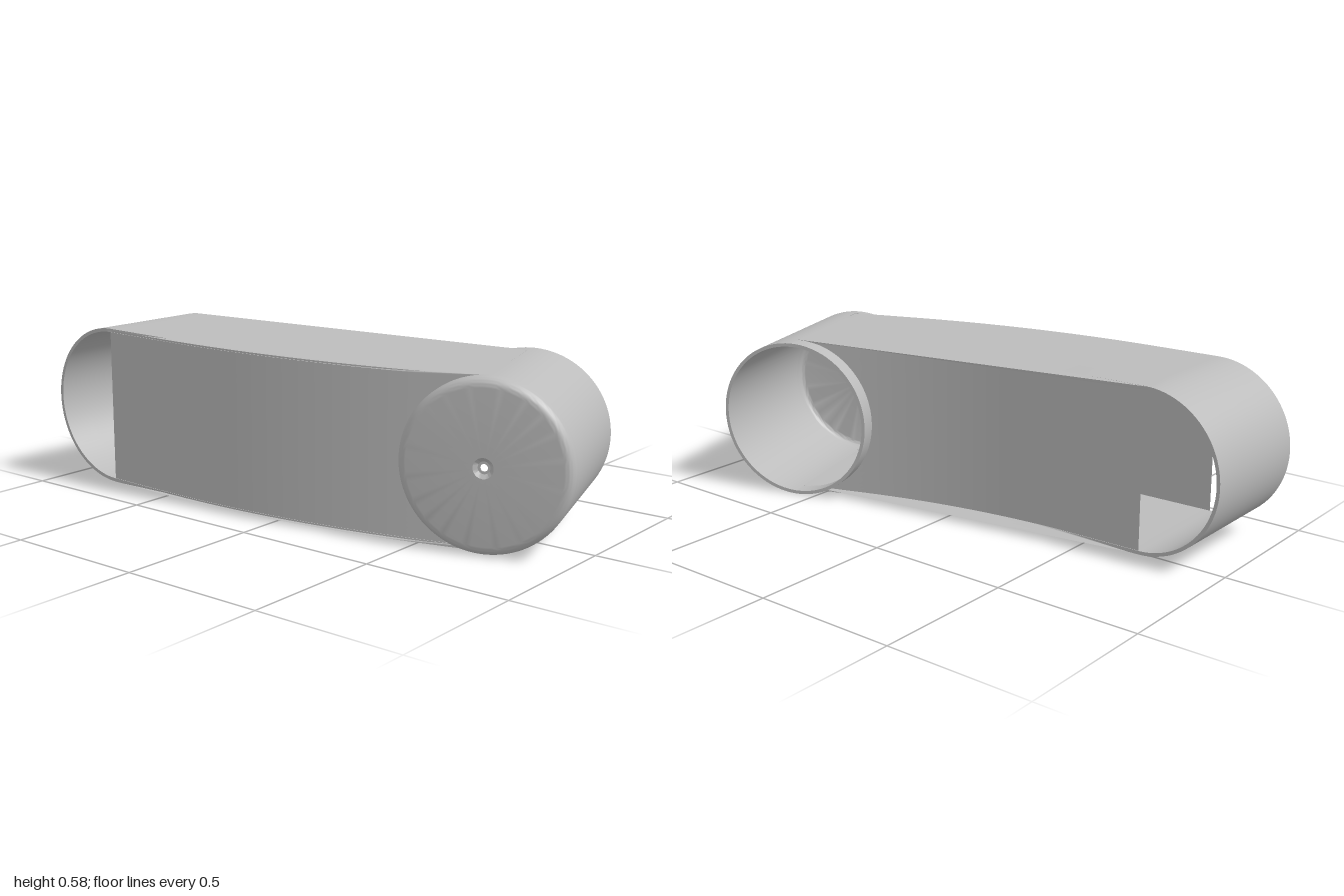
import * as THREE from 'three';
import { toCreasedNormals } from 'three/addons/utils/BufferGeometryUtils.js';
import { ParametricGeometry } from 'three/addons/geometries/ParametricGeometry.js';

const R = 0.278, T = 0.012, HALF = 0.228;      // outer radius, wall, half width of the arm
const BEND = 0.3, LENGTH = 1.675, REAR = 0.28; // bend angle, arm length, start of the side walls

// Bent arm space: s runs forward from the rear, off goes to +x, y is measured from the mid-line
function bend(s, y, off, target) {
  const a = THREE.MathUtils.clamp((s - 0.53) / 3, 0, BEND);
  const t = Math.max(0, s - 1.43);
  const x = -0.167 + 3 * (1 - Math.cos(a)) + t * Math.sin(a) + off * Math.cos(a);
  const z = (s < 0.53 ? s - 1 : -0.47 + 3 * Math.sin(a) + t * Math.cos(a)) - off * Math.sin(a);
  return target.set(x, 0.283 + y - 0.0163 * (z - 0.65), z);
}

// U-shaped strip: top sheet, round rear end and bottom sheet
function armShell() {
  const outline = (r) => {
    const pts = [];
    for (let i = 0; i <= 40; i++) pts.push(new THREE.Vector2(LENGTH + (REAR - LENGTH) * i / 40, r));
    for (let i = 1; i < 48; i++) {
      const a = Math.PI / 2 + Math.PI * i / 48;
      pts.push(new THREE.Vector2(REAR + r * Math.cos(a), r * Math.sin(a)));
    }
    for (let i = 0; i <= 40; i++) pts.push(new THREE.Vector2(REAR + (LENGTH - REAR) * i / 40, -r));
    return pts;
  };
  const shape = new THREE.Shape([...outline(R), ...outline(R - T).reverse()]);
  const g = new THREE.ExtrudeGeometry(shape, { depth: 2 * HALF, bevelEnabled: false, steps: 4 });
  const p = g.attributes.position, v = new THREE.Vector3();
  for (let i = 0; i < p.count; i++) {
    bend(p.getX(i), p.getY(i), HALF - p.getZ(i), v);
    p.setXYZ(i, v.x, v.y, v.z);
  }
  return toCreasedNormals(g, 0.6);
}

// Side wall that stops where it meets the round barrel
function sideWall(side) {
  const h = R - T / 2;
  return new ParametricGeometry((u, v, target) => {
    const y = h * Math.sin((v - 0.5) * Math.PI);
    const end = LENGTH - Math.sqrt(Math.max(0, h * h - y * y));
    bend(REAR + (end - REAR) * u, y, side * (HALF - 0.002), target);
  }, 48, 32);
}

// Closed profile of [radius, height] turned about the barrel axis (local x)
function turned(points, start = 0, sweep = Math.PI * 2) {
  const pts = [...points, points[0]].map(([r, h]) => new THREE.Vector2(r, h));
  const g = new THREE.LatheGeometry(pts, sweep > 4 ? 96 : 48, start, sweep);
  return toCreasedNormals(g.rotateZ(-Math.PI / 2), 0.6);
}
const band = (h0, h1) => [[R - T, h0], [R, h0], [R, h1], [R - T, h1]];
const fillet = (r, h, radius) => Array.from({ length: 9 }, (_, i) => {
  const a = Math.PI / 2 * i / 8;
  return [r + radius * Math.sin(a), h - radius * Math.cos(a)];
});

// Rounded access plate with four screw holes
function plateGeometry(w, d, r, sx, sz) {
  const s = new THREE.Shape();
  [[1, 1, 0], [-1, 1, 1], [-1, -1, 2], [1, -1, 3]].forEach(([x, y, q]) => {
    s.absarc(x * (w / 2 - r), y * (d / 2 - r), r, q * Math.PI / 2, (q + 1) * Math.PI / 2, false);
    s.holes.push(new THREE.Path().absarc(x * sx, y * sz, 0.02, 0, Math.PI * 2, true));
  });
  s.closePath();
  const g = new THREE.ExtrudeGeometry(s, { depth: 0.02, bevelEnabled: false, curveSegments: 12 });
  return toCreasedNormals(g.translate(0, 0, -0.01).rotateX(Math.PI / 2), 0.6);
}

export function createModel() {
  const model = new THREE.Group();
  model.name = 'hollowArmLink';
  const grey = new THREE.MeshStandardMaterial({ color: 0xbcbcbc, side: THREE.DoubleSide });
  grey.name = 'plainGrey';
  const add = (parent, name, geometry) => {
    const m = new THREE.Mesh(geometry, grey);
    m.name = name;
    parent.add(m);
    return m;
  };

  // Arm
  add(model, 'armShell', armShell());
  add(model, 'leftSideWall', sideWall(1));
  add(model, 'rightSideWall', sideWall(-1));

  // Front barrel: closed at the right end, open at the left, and open towards the arm
  const barrel = new THREE.Group();
  barrel.name = 'barrel';
  barrel.position.set(0.04, 0.283, 0.65);
  barrel.rotation.y = BEND;
  model.add(barrel);
  add(barrel, 'endCap', turned([
    [0.012, -0.272], [0.02, -0.272], [0.033, -0.283], ...fillet(R - 0.03, -0.253, 0.03),
    [R, -HALF], [R - T, -HALF], ...fillet(R - T - 0.02, -0.247, 0.02).reverse(), [0.012, -0.267],
  ]));
  add(barrel, 'frontHalf', turned(band(-HALF, 0.283), -Math.PI / 2, Math.PI));
  add(barrel, 'mouthLip', turned(band(HALF - 0.004, 0.283), Math.PI / 2, Math.PI));

  // Access plate under the arm
  const access = new THREE.Group();
  access.name = 'accessPlate';
  access.position.set(-0.18, 0.0255, -0.235);
  access.rotation.set(0.0163, 0.04, 0);
  model.add(access);
  add(access, 'plate', plateGeometry(0.34, 0.39, 0.04, 0.135, 0.155));
  for (const x of [-0.135, 0.135]) for (const z of [-0.155, 0.155]) {
    add(access, 'screw', new THREE.CylinderGeometry(0.011, 0.011, 0.021, 20)).position.set(x, 0, z);
  }
  return model;
}
